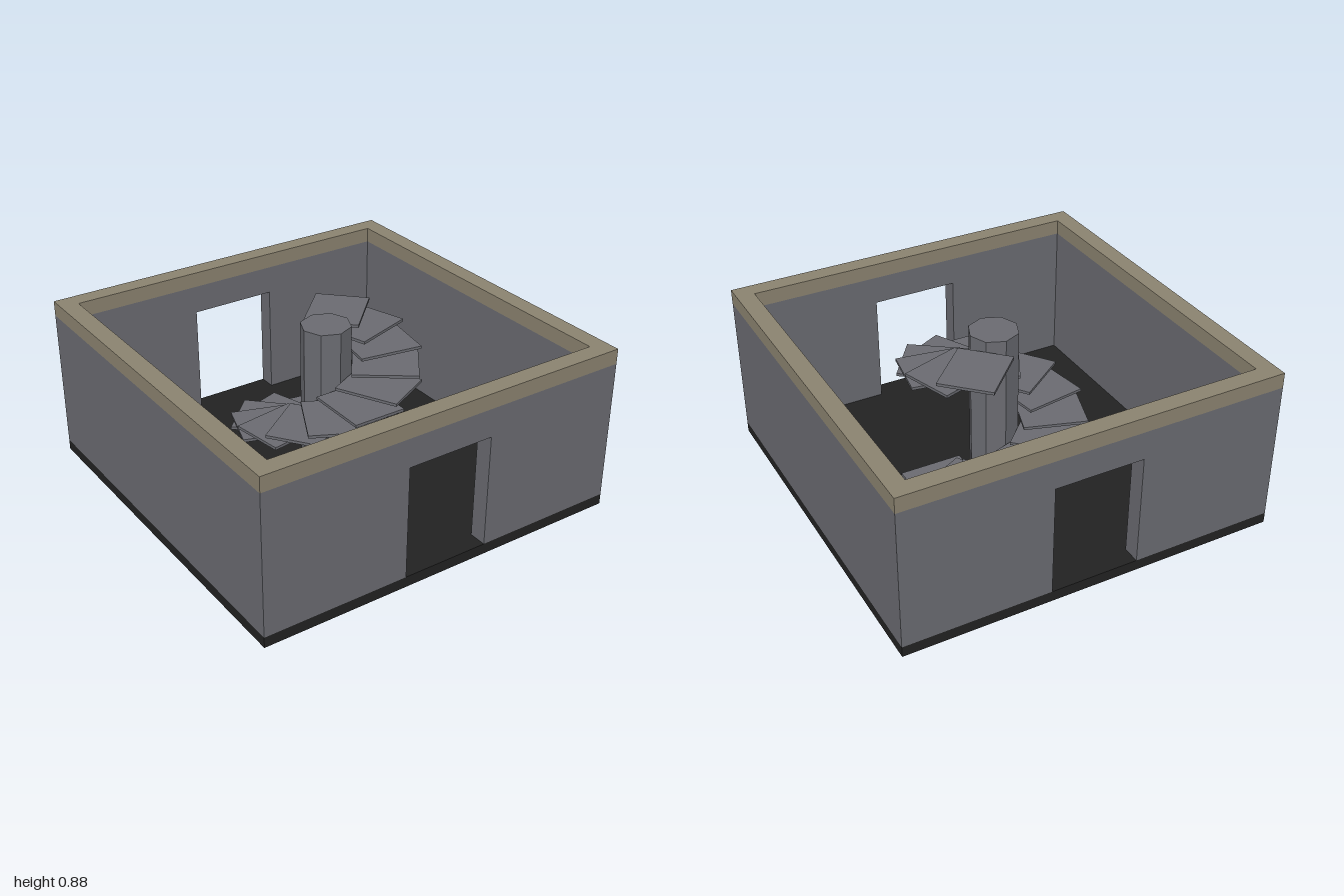
import * as THREE from 'three';

const FLOOR = 0.056, WALL_TOP = 0.8, TOP = 0.88, THICK = 0.094;
const DOOR_HALF = 0.2325, DOOR_TOP = 0.65;

export function createModel() {
  const group = new THREE.Group();
  const stone = new THREE.MeshStandardMaterial({ color: 0x6a6b71 });
  stone.name = 'grey stone';
  const trim = new THREE.MeshStandardMaterial({ color: 0x8b8370 });
  trim.name = 'tan trim';
  const dark = new THREE.MeshStandardMaterial({ color: 0x222222 });
  dark.name = 'dark floor';

  const add = (name, geometry, material, parent = group) => {
    const mesh = new THREE.Mesh(geometry, material);
    mesh.name = name;
    parent.add(mesh);
    return mesh;
  };

  // Floor slab
  add('floor', new THREE.BoxGeometry(2, FLOOR, 2), dark).position.y = FLOOR / 2;

  // Front and back walls, each notched by a doorway that reaches the floor
  const outline = new THREE.Shape([
    [-1, FLOOR], [-DOOR_HALF, FLOOR], [-DOOR_HALF, DOOR_TOP], [DOOR_HALF, DOOR_TOP],
    [DOOR_HALF, FLOOR], [1, FLOOR], [1, WALL_TOP], [-1, WALL_TOP],
  ].map(([x, y]) => new THREE.Vector2(x, y)));
  const doorWall = new THREE.ExtrudeGeometry(outline, { depth: THICK, bevelEnabled: false });
  add('frontWall', doorWall, stone).position.z = 1 - THICK;
  add('backWall', doorWall, stone).position.z = -1;

  // Plain side walls between them
  const sideWall = new THREE.BoxGeometry(THICK, WALL_TOP - FLOOR, 2 - 2 * THICK);
  for (const [name, side] of [['leftWall', 1], ['rightWall', -1]]) {
    add(name, sideWall, stone).position.set(side * (1 - THICK / 2), (WALL_TOP + FLOOR) / 2, 0);
  }

  // Square ring capping the walls
  const square = (r) => [[-r, -r], [r, -r], [r, r], [-r, r]].map(([x, y]) => new THREE.Vector2(x, y));
  const ring = new THREE.Shape(square(1));
  ring.holes.push(new THREE.Path(square(1 - THICK)));
  const cap = new THREE.ExtrudeGeometry(ring, { depth: TOP - WALL_TOP, bevelEnabled: false });
  cap.rotateX(-Math.PI / 2);
  add('wallCap', cap, trim).position.y = WALL_TOP;

  // Spiral stair: eight-sided column with sixteen treads winding upward
  const stair = new THREE.Group();
  stair.name = 'spiralStair';
  group.add(stair);
  const columnGeometry = new THREE.CylinderGeometry(0.13, 0.13, TOP - FLOOR, 8).toNonIndexed();
  columnGeometry.computeVertexNormals();
  add('column', columnGeometry, stone, stair).position.y = (TOP + FLOOR) / 2;

  const tread = new THREE.BoxGeometry(0.335, 0.015, 0.285);
  tread.translate(0.2975, 0, 0);
  for (let i = 0; i < 16; i++) {
    const step = add('tread' + (i + 1), tread, stone, stair);
    step.position.y = 0.068 + i * 0.05;
    step.rotation.y = THREE.MathUtils.degToRad(27 * i);
  }
  return group;
}
